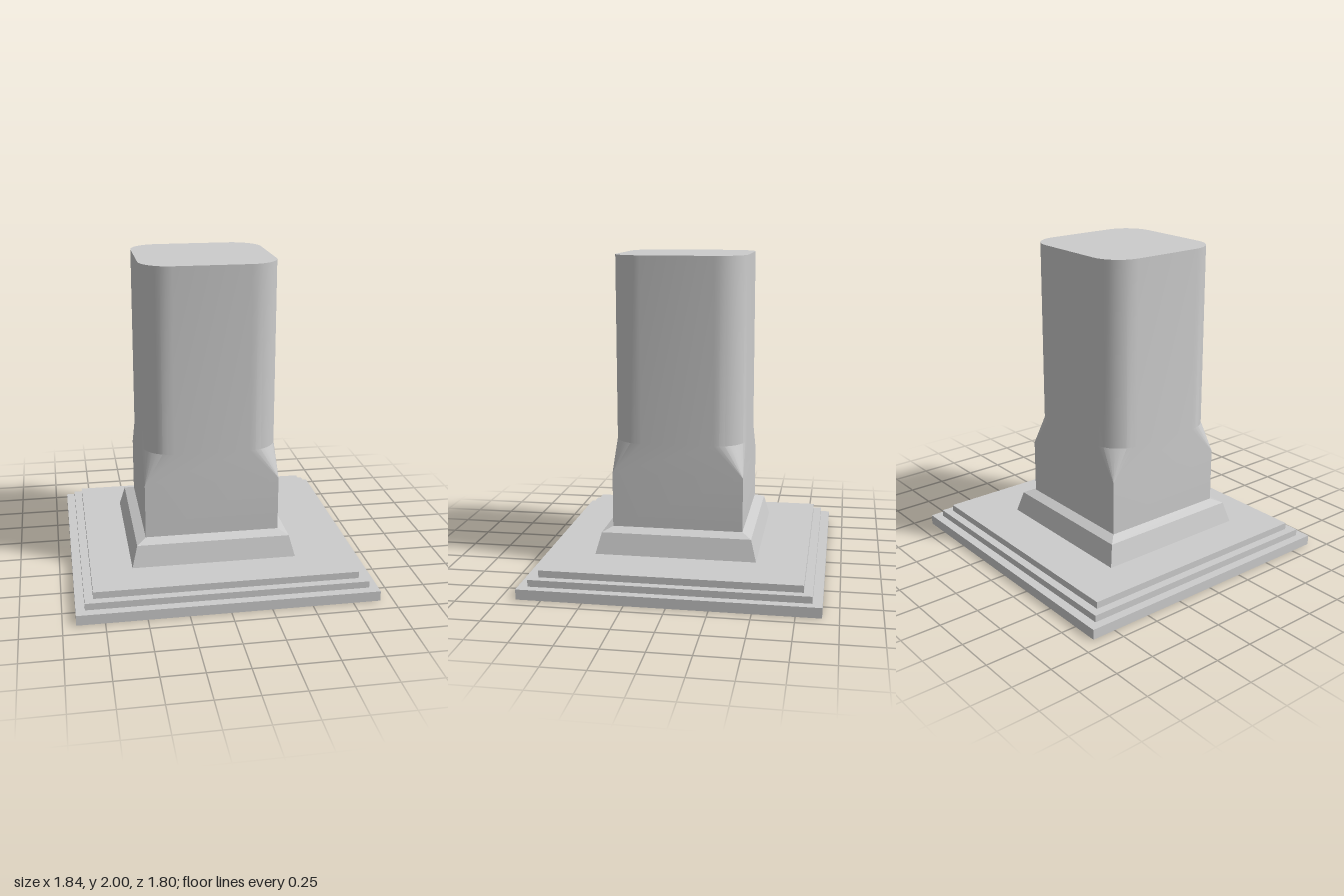
import * as THREE from 'three';
import { toCreasedNormals } from 'three/addons/utils/BufferGeometryUtils.js';

const material = new THREE.MeshStandardMaterial({ color: 0xcccccc });
const CORNER_STEPS = 8;

// Rectangle with corner radius r, lying at height y
function ring({ y, w, d, r = 0 }) {
  const points = [];
  for (const [q, sx, sz] of [[0, 1, 1], [1, -1, 1], [2, -1, -1], [3, 1, -1]]) {
    for (let i = 0; i <= CORNER_STEPS; i++) {
      const a = (q + i / CORNER_STEPS) * Math.PI / 2;
      points.push(new THREE.Vector3(
        sx * (w / 2 - r) + r * Math.cos(a), y, sz * (d / 2 - r) + r * Math.sin(a)));
    }
  }
  return points;
}

// Closed solid through a stack of rings, dropping triangles of zero area
function loft(name, sections) {
  const rings = sections.map(ring);
  const positions = [];
  const triangle = (a, b, c) => {
    const area = b.clone().sub(a).cross(c.clone().sub(a)).length();
    if (area > 1e-8) for (const p of [a, b, c]) positions.push(p.x, p.y, p.z);
  };
  const n = rings[0].length;
  const first = rings[0], last = rings[rings.length - 1];
  const bottom = new THREE.Vector3(0, sections[0].y, 0);
  const top = new THREE.Vector3(0, sections[sections.length - 1].y, 0);
  for (let i = 0; i < n; i++) {
    const j = (i + 1) % n;
    for (let k = 0; k < rings.length - 1; k++) {
      const lo = rings[k], hi = rings[k + 1];
      triangle(lo[i], hi[i], lo[j]);
      triangle(hi[i], hi[j], lo[j]);
    }
    triangle(bottom, first[i], first[j]);
    triangle(top, last[j], last[i]);
  }
  const geometry = new THREE.BufferGeometry();
  geometry.setAttribute('position', new THREE.Float32BufferAttribute(positions, 3));
  geometry.computeVertexNormals();
  const mesh = new THREE.Mesh(toCreasedNormals(geometry, 0.3), material);
  mesh.name = name;
  return mesh;
}

export function createModel() {
  const model = new THREE.Group();
  model.name = 'pillar';

  // Three stacked slabs
  const steps = [
    ['lowerStep', 1.84, 1.805, 0, 0.063],
    ['middleStep', 1.73, 1.69, 0.063, 0.105],
    ['upperStep', 1.625, 1.585, 0.105, 0.148],
  ];
  for (const [name, w, d, y0, y1] of steps) {
    const step = new THREE.Mesh(new THREE.BoxGeometry(w, y1 - y0, d), material);
    step.name = name;
    step.position.y = (y0 + y1) / 2;
    model.add(step);
  }

  // Pillar stands slightly off the centre of the steps
  const column = new THREE.Group();
  column.name = 'column';
  column.position.set(-0.04, 0, 0.02);
  model.add(column);

  // Sloping plinth with a bevelled top
  column.add(loft('plinth', [
    { y: 0.148, w: 1.03, d: 1.01 },
    { y: 0.28, w: 0.96, d: 0.94 },
    { y: 0.306, w: 0.84, d: 0.82 },
  ]));

  // Square foot whose corners taper into a rounded shaft
  column.add(loft('shaft', [
    { y: 0.306, w: 0.84, d: 0.82 },
    { y: 0.65, w: 0.84, d: 0.82 },
    { y: 0.845, w: 0.84, d: 0.82, r: 0.185 },
    { y: 2, w: 0.84, d: 0.82, r: 0.185 },
  ]));

  return model;
}
